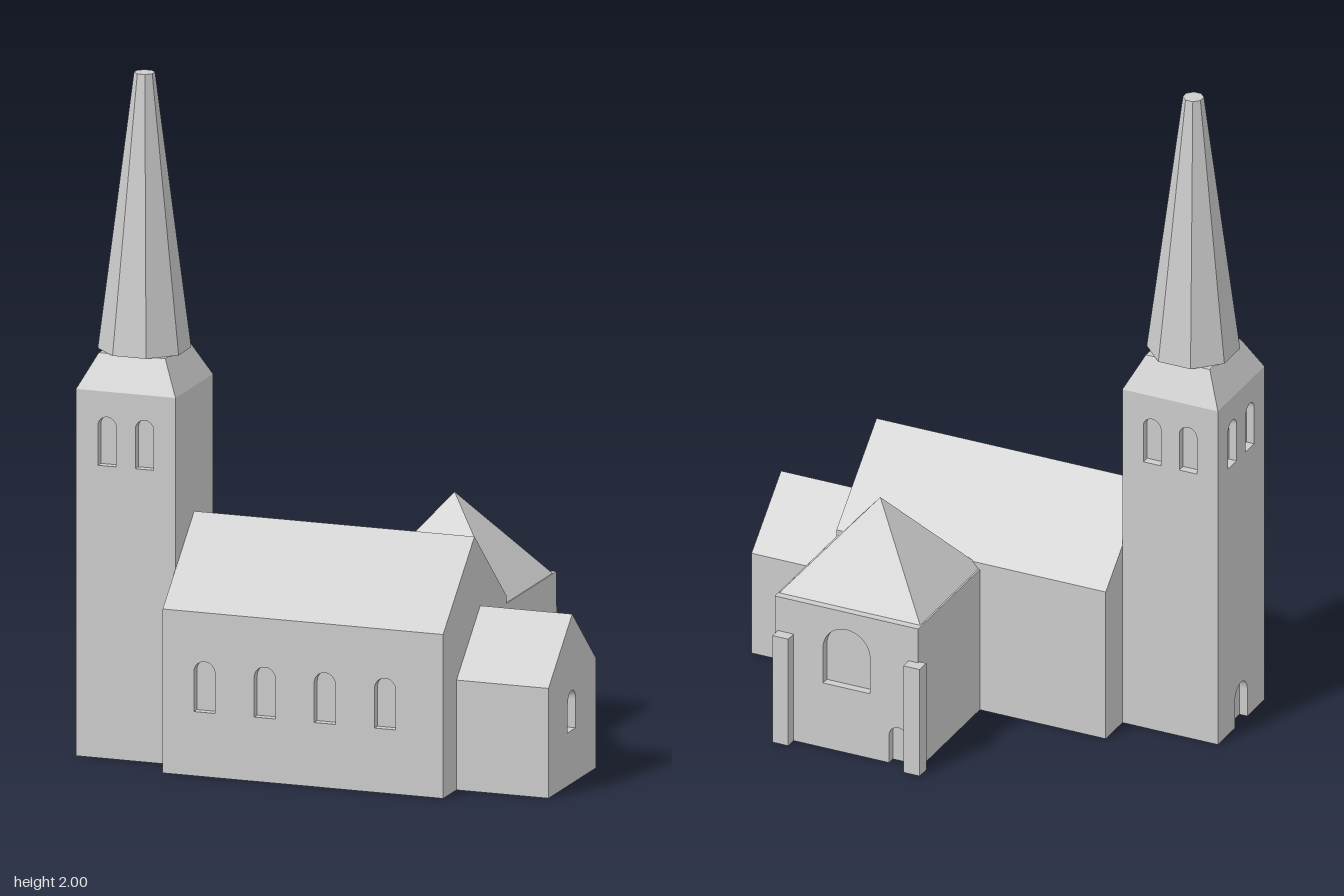
import * as THREE from 'three';

const T = 0.025; // depth of window and door recesses

export function createModel() {
  const church = new THREE.Group();
  church.name = 'church';
  const stone = new THREE.MeshStandardMaterial({ color: 0xcccccc });
  stone.name = 'pale grey stone';

  function add(name, geometry, x = 0, y = 0, z = 0, turn = 0) {
    const mesh = new THREE.Mesh(geometry, stone);
    mesh.name = name;
    mesh.position.set(x, y, z);
    mesh.rotation.y = turn;
    church.add(mesh);
    return mesh;
  }

  // Box given by its limits on each axis
  function block(name, x0, x1, y0, y1, z0, z1) {
    return add(name, new THREE.BoxGeometry(x1 - x0, y1 - y0, z1 - z0),
      (x0 + x1) / 2, (y0 + y1) / 2, (z0 + z1) / 2);
  }

  // Cross-section of [z, y] points carried from x0 to x1
  function prism(name, points, x0, x1) {
    const shape = new THREE.Shape(points.map(([z, y]) => new THREE.Vector2(-z, y)));
    const geometry = new THREE.ExtrudeGeometry(shape, { depth: x1 - x0, bevelEnabled: false });
    return add(name, geometry, x0, 0, 0, Math.PI / 2);
  }

  // Flat-faced tapering roof with n sides, one side facing the front
  function taper(name, top, bottom, height, n, x, y, z) {
    const k = 1 / Math.cos(Math.PI / n);
    const indexed = new THREE.CylinderGeometry(top * k, bottom * k, height, n, 1, false, Math.PI / n);
    const geometry = indexed.toNonIndexed();
    geometry.computeVertexNormals();
    return add(name, geometry, x, y + height / 2, z);
  }

  // Round-headed opening: centre u, width w, from y0 to y1
  function arch(path, u, w, y0, y1) {
    const r = w / 2;
    path.moveTo(u - r, y0);
    path.lineTo(u + r, y0);
    path.lineTo(u + r, y1 - r);
    path.absarc(u, y1 - r, r, 0, Math.PI, false);
    path.lineTo(u - r, y0);
    return path;
  }

  // Wall slab with arched openings; its outer face lies at the given place
  function wall(name, outline, windows, x, z, turn, door) {
    const shape = new THREE.Shape();
    shape.moveTo(...outline[0]);
    if (door) { // notch in the bottom edge
      const [u, w, h] = door;
      const r = w / 2;
      shape.lineTo(u - r, 0);
      shape.lineTo(u - r, h - r);
      shape.absarc(u, h - r, r, Math.PI, 0, true);
      shape.lineTo(u + r, 0);
    }
    outline.slice(1).forEach((p) => shape.lineTo(...p));
    windows.forEach((win) => shape.holes.push(arch(new THREE.Path(), ...win)));
    const geometry = new THREE.ExtrudeGeometry(shape, { depth: T, bevelEnabled: false, curveSegments: 10 });
    geometry.translate(0, 0, -T);
    return add(name, geometry, x, 0, z, turn);
  }
  const rect = (u0, u1, h) => [[u0, 0], [u1, 0], [u1, h], [u0, h]];
  const LEFT = Math.PI / 2, BACK = Math.PI, RIGHT = -Math.PI / 2;

  // Tower: solid core with pierced walls on three sides
  const tx = -0.572, tz = 0.222, th = 0.1525, towerTop = 1.085;
  block('towerCore', tx - th + T, tx + th, 0, towerTop, tz - th + T, tz + th - T);
  const belfry = [-0.0575, 0.0575].map((u) => [u, 0.056, 0.865, 1.01]);
  wall('towerFrontWall', rect(-th + T, th, towerTop), belfry, tx, tz + th, 0);
  wall('towerBackWall', rect(-th, th - T, towerTop), belfry, tx, tz - th, BACK);
  wall('towerDoorWall', rect(-th, th, towerTop), belfry, tx - th, tz, RIGHT, [0, 0.08, 0.13]);
  taper('towerShoulder', 0.102, th, 0.1, 4, tx, towerTop, tz);
  taper('spire', 0.028, 0.124, 0.815, 8, tx, 1.185, tz);

  // Nave: the section is cut back below the front eave for the window wall
  prism('nave', [[-0.04, 0], [0.477 - T, 0], [0.477 - T, 0.45], [0.477, 0.45],
    [0.477, 0.485], [0.222, 0.715], [-0.04, 0.478]], -0.42, 0.44);
  wall('naveFrontWall', rect(-0.43, 0.43, 0.45),
    [-0.302, -0.117, 0.067, 0.252].map((u) => [u, 0.065, 0.19, 0.34]), 0.01, 0.477, 0);

  // Chancel with gable window
  const cz = 0.175, cw = 0.193;
  const gable = [[-cw, 0], [cw, 0], [cw, 0.325], [0, 0.5], [-cw, 0.325]];
  prism('chancel', gable.map(([u, y]) => [cz - u, y]), 0.44, 0.722 - T);
  wall('chancelGableWall', gable, [[-0.004, 0.065, 0.157, 0.275]], 0.722, cz, LEFT);

  // Side chapel with hipped roof
  block('chapelCore', -0.018, 0.44 - T, 0, 0.457, -0.443 + T, 0);
  wall('chapelBackWall', rect(-0.229, 0.229, 0.457), [[0, 0.15, 0.21, 0.4]],
    0.211, -0.443, BACK, [0.166, 0.06, 0.12]);
  wall('chapelSideWall', rect(0, 0.443 - T, 0.457), [[0.235, 0.07, 0.19, 0.34]], 0.44, 0, LEFT);
  const roof = taper('chapelRoof', 0, 0.2, 0.268, 4, 0.212, 0.457, -0.22);
  roof.scale.x = 1.125;

  // Chapel buttresses
  block('buttress', -0.04, 0.012, 0, 0.347, -0.478, -0.435);
  block('buttress', 0.38, 0.43, 0, 0.347, -0.478, -0.435);

  return church;
}
